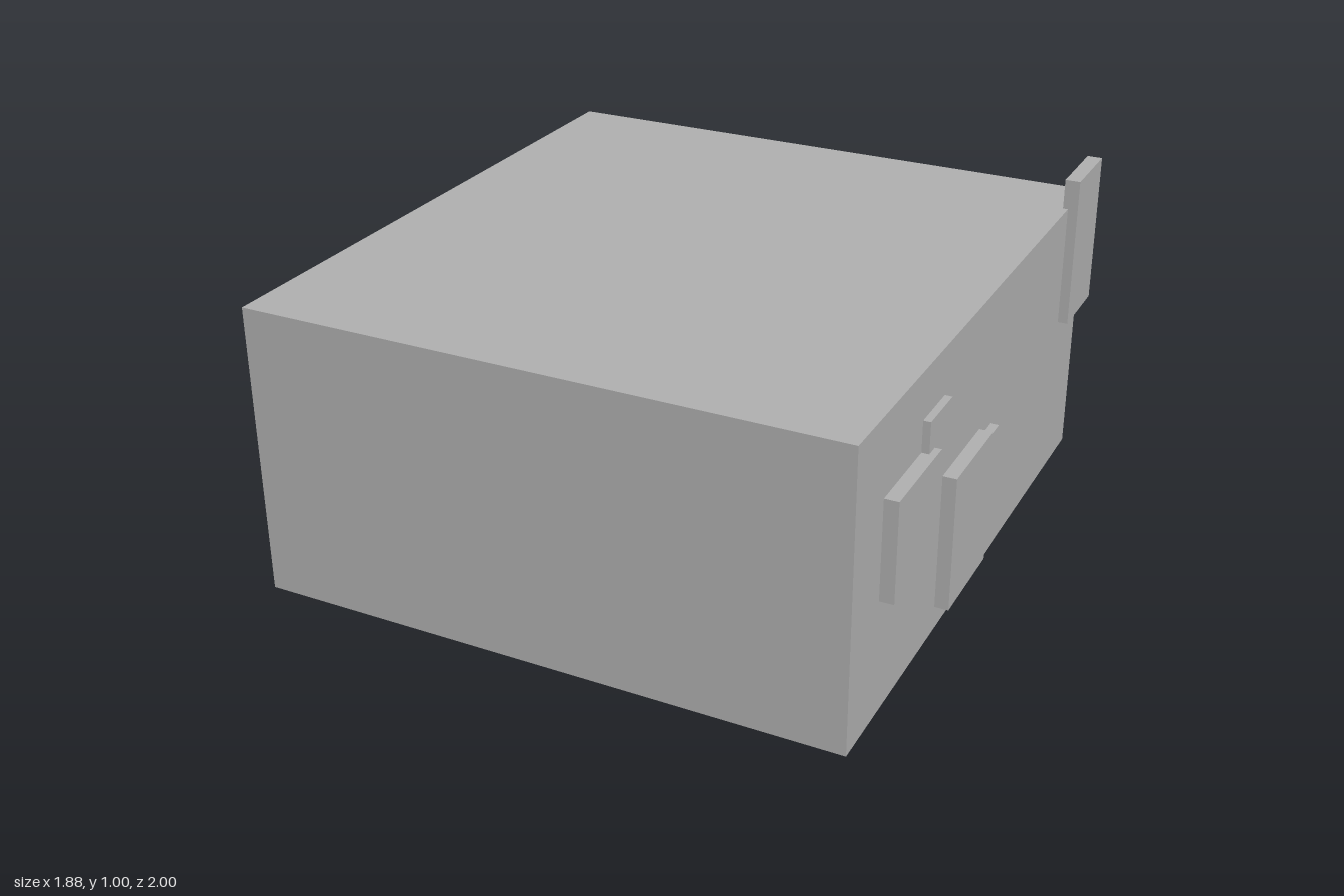
import * as THREE from 'three';

export function createModel() {
  const group = new THREE.Group();
  const grey = new THREE.MeshStandardMaterial({ color: 0xb2b2b2 });
  grey.name = 'plain grey';

  // Box given by its extents along each axis
  function block(name, [x0, x1], [y0, y1], [z0, z1]) {
    const mesh = new THREE.Mesh(new THREE.BoxGeometry(x1 - x0, y1 - y0, z1 - z0), grey);
    mesh.position.set((x0 + x1) / 2, (y0 + y1) / 2, (z0 + z1) / 2);
    mesh.name = name;
    group.add(mesh);
  }

  const side = 0.896;

  // Main building block
  block('body', [-0.938, side], [0, 0.91], [-0.95, 1]);

  // Sign plate projecting past the rear corner
  block('cornerPlate', [0.88, 0.927], [0.522, 1.005], [-1, -0.75]);

  // Wall panels on the left side: name, outer x, y range, z range
  const panels = [
    ['largePanelFront', 0.938, [0.363, 0.668], [0.496, 0.808]],
    ['smallPanelUpper', 0.918, [0.598, 0.763], [0.372, 0.538]],
    ['largePanelRear', 0.938, [0.076, 0.502], [0.036, 0.347]],
    ['mediumPanel', 0.924, [0.235, 0.47], [-0.074, 0.04]],
    ['smallPanelLower', 0.915, [0.18, 0.268], [-0.1, -0.01]],
  ];
  for (const [name, outer, y, z] of panels) block(name, [side, outer], y, z);

  return group;
}
